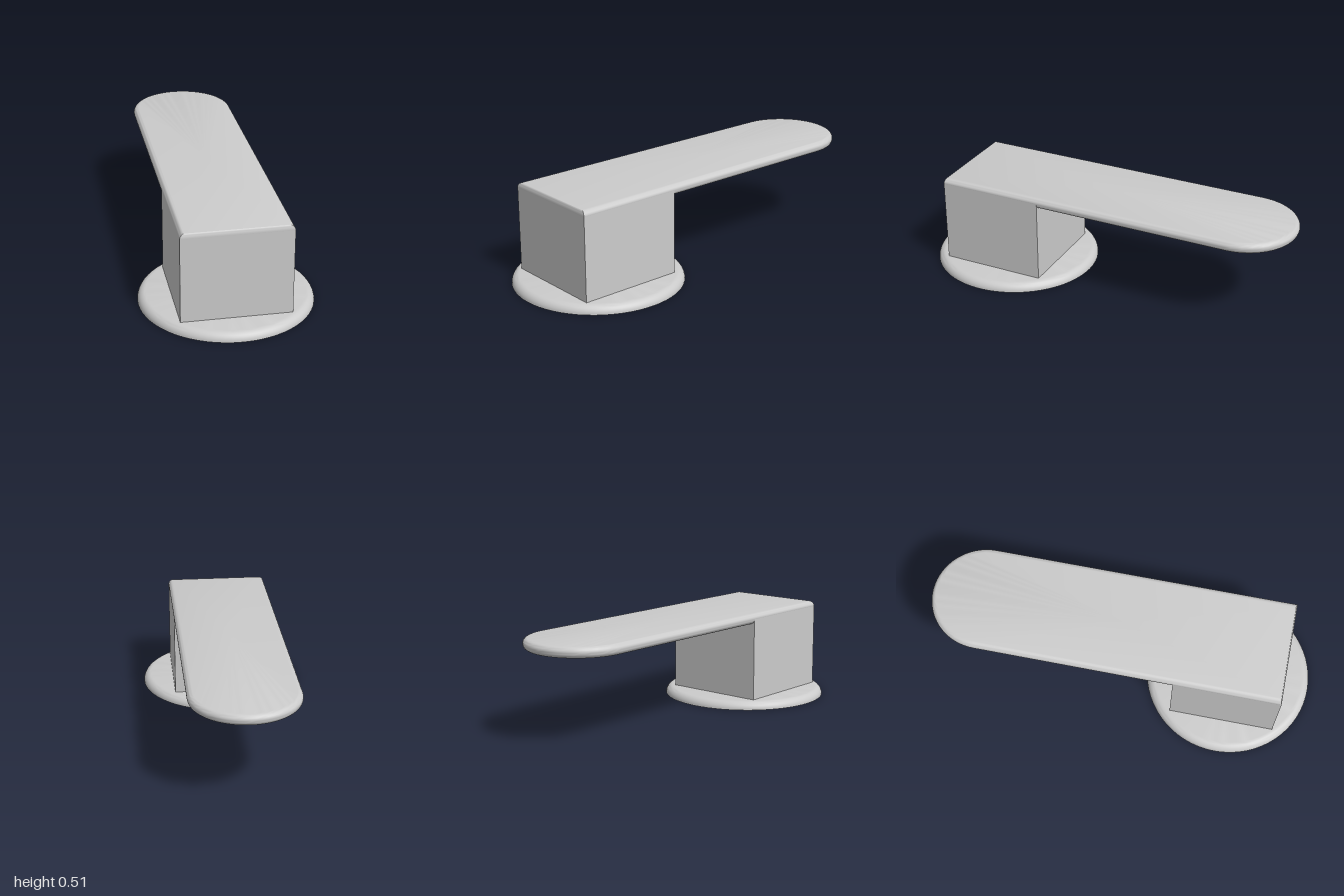
import * as THREE from 'three';
import { toCreasedNormals } from 'three/addons/utils/BufferGeometryUtils.js';

const HALF_W = 0.272, FRONT = 0.845, BACK = -1, MID_Y = 0.478, ROUND = 0.0275;

// Outline of the lever, pulled in by an inset: semicircular back, square front
function leverOutline(inset) {
  const points = [], r = HALF_W - inset, front = FRONT - inset * 0.35;
  for (let i = 0; i <= 32; i++) {
    const a = (Math.PI * i) / 32;
    points.push([r * Math.cos(a), BACK + HALF_W - r * Math.sin(a)]);
  }
  points.push([-r, front], [r, front]);
  return points;
}

// Stack inset outlines into a slab with a fully rounded edge
function leverGeometry() {
  const pos = [], index = [], steps = 12;
  let n = 0;
  for (let k = 0; k <= steps; k++) {
    const a = -Math.PI / 2 + (Math.PI * k) / steps;
    const ring = leverOutline(ROUND * (1 - Math.cos(a)));
    n = ring.length;
    for (const [x, z] of ring) pos.push(x, MID_Y + ROUND * Math.sin(a), z);
  }
  for (let k = 0; k < steps; k++) {
    for (let j = 0; j < n; j++) {
      const a = k * n + j, b = k * n + ((j + 1) % n);
      index.push(a, b, b + n, a, b + n, a + n);
    }
  }
  // Flat underside and top
  const low = pos.length / 3, high = low + 1, last = steps * n;
  pos.push(0, MID_Y - ROUND, 0, 0, MID_Y + ROUND, 0);
  for (let j = 0; j < n; j++) {
    const next = (j + 1) % n;
    index.push(low, next, j, high, last + j, last + next);
  }
  const geo = new THREE.BufferGeometry();
  geo.setAttribute('position', new THREE.Float32BufferAttribute(pos, 3));
  geo.setIndex(index);
  return toCreasedNormals(geo, 0.6);
}

// Round base plate with a rounded upper rim
function baseGeometry() {
  const r = 0.435, h = 0.043, profile = [new THREE.Vector2(0, 0)];
  for (let i = 0; i <= 8; i++) {
    const a = (Math.PI / 2) * (i / 8);
    profile.push(new THREE.Vector2(r - h + h * Math.cos(a), h * Math.sin(a)));
  }
  profile.push(new THREE.Vector2(0, h));
  return toCreasedNormals(new THREE.LatheGeometry(profile, 64), 0.6);
}

export function createModel() {
  const group = new THREE.Group();
  group.name = 'leverHandle';
  const material = new THREE.MeshStandardMaterial({ color: 0xcccccc });
  const add = (name, geometry, y = 0, z = 0) => {
    const mesh = new THREE.Mesh(geometry, material);
    mesh.name = name;
    mesh.position.set(0, y, z);
    group.add(mesh);
  };

  add('basePlate', baseGeometry(), 0, 0.565);

  // Square neck between plate and lever
  const bottom = 0.035, neckBack = 0.295;
  add('neck', new THREE.BoxGeometry(HALF_W * 2, MID_Y - bottom, FRONT - neckBack),
    (MID_Y + bottom) / 2, (FRONT + neckBack) / 2);

  add('lever', leverGeometry());
  return group;
}
